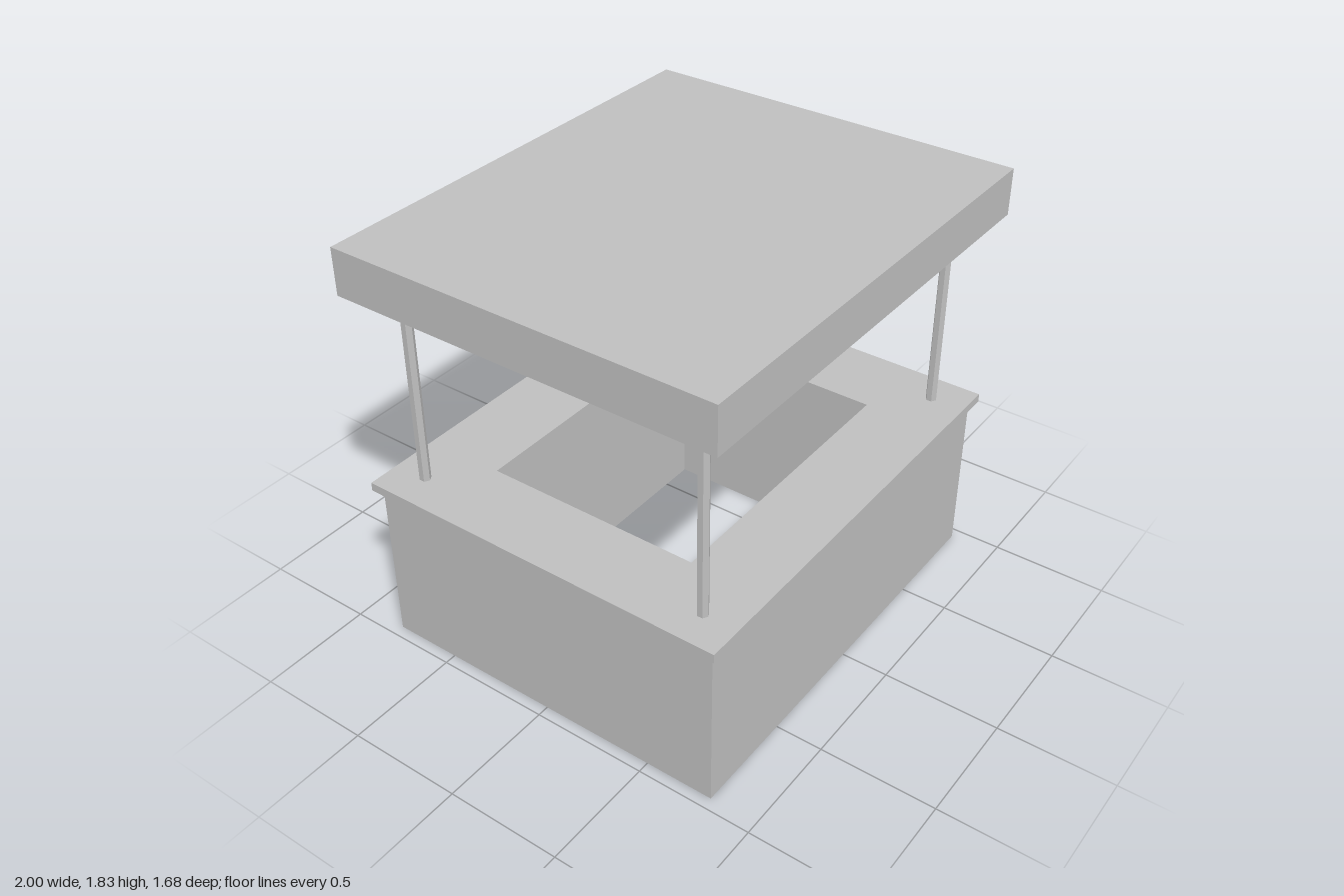
import * as THREE from 'three';

// Flat rectangular ring: outer and inner half sizes, from height y0 to y1
function ring(ox, oz, ix, iz, y0, y1) {
  const rect = (target, x, z) => target
    .moveTo(-x, -z).lineTo(x, -z).lineTo(x, z).lineTo(-x, z).closePath();
  const shape = rect(new THREE.Shape(), ox, oz);
  shape.holes.push(rect(new THREE.Path(), ix, iz));
  return new THREE.ExtrudeGeometry(shape, { depth: y1 - y0, bevelEnabled: false })
    .rotateX(-Math.PI / 2)
    .translate(0, y0, 0);
}

export function createModel() {
  const group = new THREE.Group();
  const grey = new THREE.MeshStandardMaterial({ color: 0xbfbfbf });
  grey.name = 'plain grey';
  grey.flatShading = true;

  const add = (name, geometry, x = 0, y = 0, z = 0) => {
    const mesh = new THREE.Mesh(geometry, grey);
    mesh.name = name;
    mesh.position.set(x, y, z);
    group.add(mesh);
  };

  const baseTop = 0.735, counterTop = 0.773, roofBottom = 1.63, roofTop = 1.83;

  // Thick walls, open through the middle
  add('baseWalls', ring(0.95, 0.797, 0.645, 0.484, 0, baseTop));

  // Counter overhangs the walls inside and out
  add('counter', ring(0.983, 0.826, 0.633, 0.478, baseTop, counterTop));

  // Six-sided corner posts
  const height = roofBottom - counterTop;
  const post = new THREE.CylinderGeometry(0.024, 0.024, height, 6);
  for (const [sx, xName] of [[1, 'Left'], [-1, 'Right']]) {
    for (const [sz, zName] of [[1, 'front'], [-1, 'back']]) {
      add(`${zName}${xName}Post`, post, sx * 0.835, counterTop + height / 2, sz * 0.674);
    }
  }

  // Flat slab roof
  add('roof', new THREE.BoxGeometry(2, roofTop - roofBottom, 1.682), 0, (roofTop + roofBottom) / 2, 0);

  return group;
}
